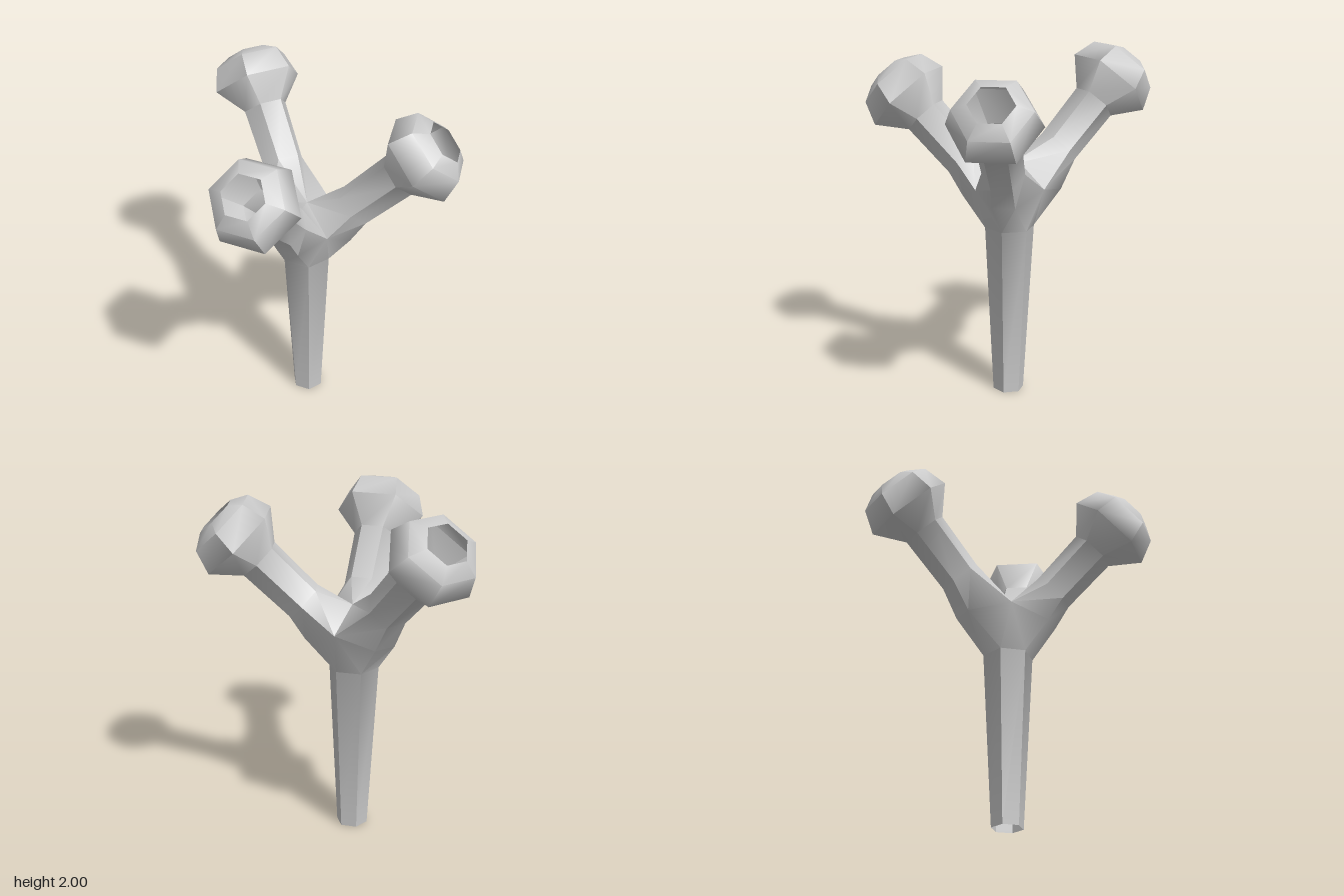
import * as THREE from 'three';
import { toCreasedNormals } from 'three/addons/utils/BufferGeometryUtils.js';

const V = (x, y, z) => new THREE.Vector3(x, y, z);
const UP = V(0, 1, 0);

// Three arms: compass heading (degrees from +x towards +z) and extra reach
const ARMS = [
  { name: 'front', heading: 91.5, reach: 0 },
  { name: 'left', heading: -11, reach: 0 },
  { name: 'right', heading: 221, reach: 0.06 },
];
// Hexagonal sections along an arm: [distance out, height, radius]
const ARM = [[0.27, 1.38, 0.12], [0.508, 1.615, 0.127]];
const HEAD = [[0.508, 1.615, 0.127], [0.612, 1.72, 0.256], [0.705, 1.815, 0.212], [0.74, 1.85, 0.124]];

export function createModel() {
  const positions = [];
  const parts = [];
  const tri = (...pts) => pts.forEach((p) => positions.push(p.x, p.y, p.z));
  const quad = (a, b, c, d) => { tri(a, b, c); tri(a, c, d); };
  const bridge = (lo, hi) => lo.forEach((p, i) => {
    const j = (i + 1) % lo.length;
    if (hi[i].equals(hi[j])) tri(p, lo[j], hi[i]);
    else if (p.equals(lo[j])) tri(p, hi[j], hi[i]);
    else quad(p, lo[j], hi[j], hi[i]);
  });
  // Records which triangles belong to which part
  const part = (name, build) => {
    const start = positions.length / 3;
    build();
    parts.push({ name, start, end: positions.length / 3 });
  };

  // Hexagonal stem sections, two corners facing each arm
  const hex = (cx, y, r) => Array.from({ length: 6 }, (_, k) => {
    const a = THREE.MathUtils.degToRad(120 - 60 * k);
    return V(cx + r * Math.cos(a), y, -0.08 + r * Math.sin(a));
  });
  const foot = hex(-0.04, 0, 0.09);
  const neck = hex(-0.05, 1, 0.143);

  // Crotch centre and the three valleys between neighbouring arms
  const centre = V(-0.04, 1.36, -0.075);
  const valleys = [V(0.14, 1.25, 0.06), V(0.005, 1.25, -0.3), V(-0.25, 1.25, 0)];

  const arms = ARMS.map(({ name, heading, reach }, i) => {
    const a = THREE.MathUtils.degToRad(heading);
    const out = V(Math.cos(a), 0, Math.sin(a));
    const side = UP.clone().cross(out);
    const lift = UP.clone().sub(out).normalize();
    const at = (d, y) => V(-0.04, y, -0.08).addScaledVector(out, d);
    // Section perpendicular to the arm, which rises at 45 degrees
    const section = ([d, y, r]) => Array.from({ length: 6 }, (_, k) =>
      at(d + reach, y + reach * 0.9)
        .addScaledVector(side, r * Math.cos(k * Math.PI / 3))
        .addScaledVector(lift, r * Math.sin(k * Math.PI / 3)));
    const under = (s) => at(0.26 + reach * 0.8, 1.18 + reach * 0.3).addScaledVector(side, s * 0.065);
    const root = [valleys[i], centre, centre, valleys[(i + 2) % 3], under(-1), under(1)];
    return { name, root, section };
  });

  part('stem', () => bridge(foot, neck));

  // Hub flaring from the stem to the three arm roots
  part('hub', () => arms.forEach(({ root }, i) => {
    const next = arms[(i + 1) % 3].root;
    const s0 = neck[2 * i], s1 = neck[2 * i + 1], s2 = neck[(2 * i + 2) % 6];
    quad(s0, s1, root[5], root[4]);
    tri(s1, s2, valleys[i]);
    tri(s1, valleys[i], root[5]);
    tri(s2, next[4], valleys[i]);
  }));

  // Arms and their hollow, open-ended knobs
  arms.forEach(({ name, root, section }) => {
    part(name + 'Arm', () => {
      const rings = [root, ...ARM.map(section)];
      for (let k = 1; k < rings.length; k++) bridge(rings[k - 1], rings[k]);
    });
    part(name + 'Knob', () => {
      const rings = HEAD.map(section);
      for (let k = 1; k < rings.length; k++) bridge(rings[k - 1], rings[k]);
    });
  });

  // Shade the whole skin together, then cut it into named parts
  let skin = new THREE.BufferGeometry();
  skin.setAttribute('position', new THREE.Float32BufferAttribute(positions, 3));
  skin = toCreasedNormals(skin, 1.0);
  const material = new THREE.MeshStandardMaterial({ color: 0xcccccc, side: THREE.DoubleSide });
  const group = new THREE.Group();
  group.name = 'branchingStand';
  for (const { name, start, end } of parts) {
    const geometry = new THREE.BufferGeometry();
    for (const key of ['position', 'normal']) {
      const values = skin.getAttribute(key).array.slice(start * 3, end * 3);
      geometry.setAttribute(key, new THREE.BufferAttribute(values, 3));
    }
    const mesh = new THREE.Mesh(geometry, material);
    mesh.name = name;
    group.add(mesh);
  }
  return group;
}
